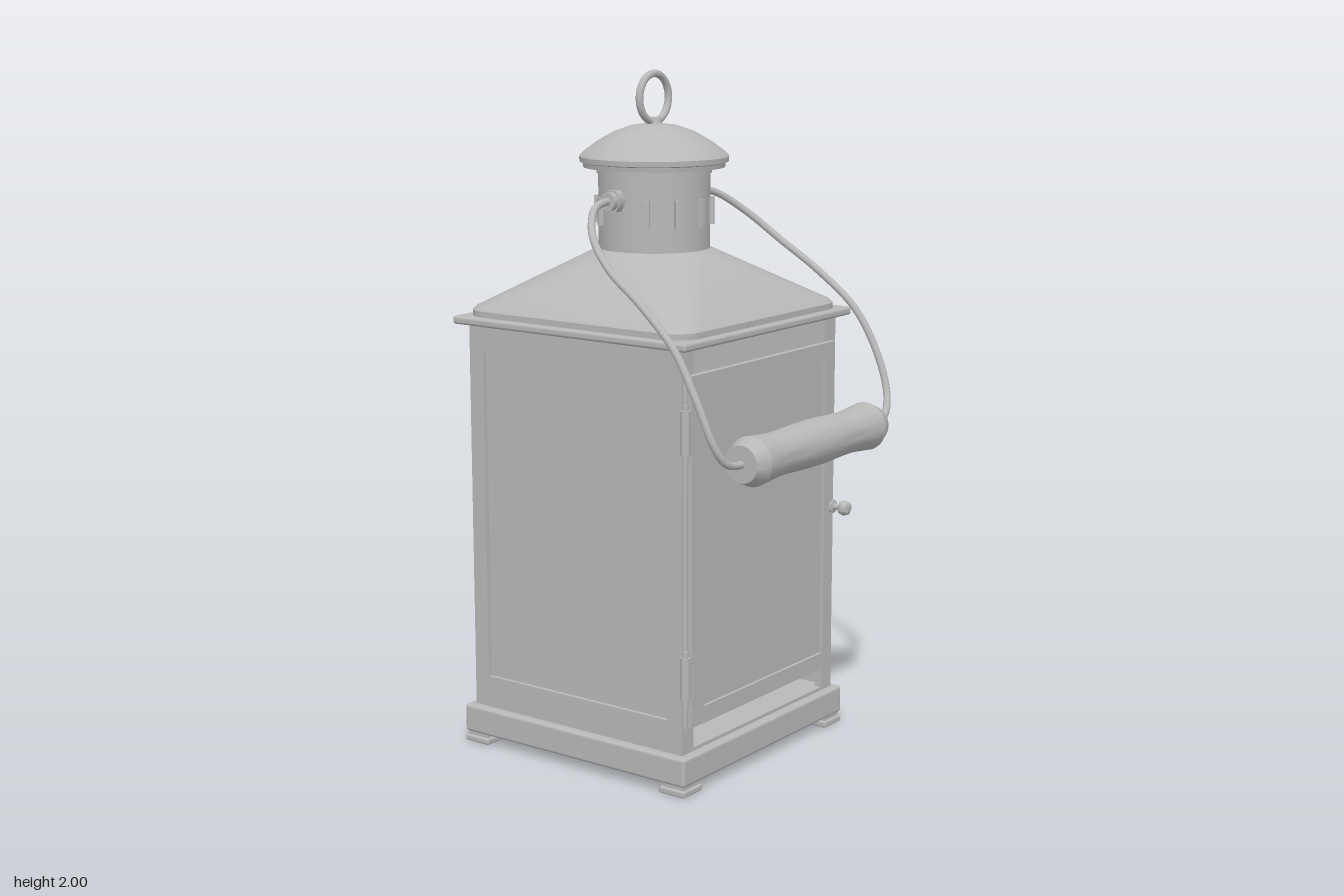
import * as THREE from 'three';
import { toCreasedNormals } from 'three/addons/utils/BufferGeometryUtils.js';
import { RoundedBoxGeometry } from 'three/addons/geometries/RoundedBoxGeometry.js';

const metal = new THREE.MeshStandardMaterial({ color: 0xb8b8b8 });
metal.name = 'grey metal';
const sheet = new THREE.MeshStandardMaterial({ color: 0xb8b8b8, side: THREE.DoubleSide });
sheet.name = 'grey sheet';

function add(parent, name, geometry, x = 0, y = 0, z = 0, material = metal) {
  const mesh = new THREE.Mesh(geometry, material);
  mesh.name = name;
  mesh.position.set(x, y, z);
  parent.add(mesh);
  return mesh;
}

const box = (w, h, d, r = 0) => r ? new RoundedBoxGeometry(w, h, d, 2, r) : new THREE.BoxGeometry(w, h, d);

function lathe(points, segments = 48, crease = 0.6) {
  const g = new THREE.LatheGeometry(points.map(([r, y]) => new THREE.Vector2(r, y)), segments);
  return toCreasedNormals(g, crease);
}

// Rectangular frame with a rectangular opening, facing +z from z = 0
function frame(x0, x1, y0, y1, hx0, hx1, hy0, hy1, depth) {
  const rect = (T, a, b, c, d) => {
    const s = new T();
    s.moveTo(a, c); s.lineTo(b, c); s.lineTo(b, d); s.lineTo(a, d); s.closePath();
    return s;
  };
  const shape = rect(THREE.Shape, x0, x1, y0, y1);
  shape.holes.push(rect(THREE.Path, hx0, hx1, hy0, hy1));
  return new THREE.ExtrudeGeometry(shape, { depth, bevelEnabled: false });
}

// Loft through rounded squares; each section is [y, half width, corner radius]
function roundedLoft(sections, steps = 14) {
  const pos = [], index = [], n = 4 * (steps + 1);
  for (const [y, half, r] of sections) {
    for (let c = 0; c < 4; c++) {
      const mid = Math.PI / 4 + c * Math.PI / 2, flat = half - r;
      for (let i = 0; i <= steps; i++) {
        const a = c * Math.PI / 2 + i / steps * Math.PI / 2;
        pos.push(Math.sign(Math.cos(mid)) * flat + r * Math.cos(a), y,
          -(Math.sign(Math.sin(mid)) * flat + r * Math.sin(a)));
      }
    }
  }
  for (let s = 0; s < sections.length - 1; s++) {
    for (let i = 0; i < n; i++) {
      const a = s * n + i, b = s * n + (i + 1) % n;
      index.push(a, b, b + n, a, b + n, a + n);
    }
  }
  const g = new THREE.BufferGeometry();
  g.setAttribute('position', new THREE.Float32BufferAttribute(pos, 3));
  g.setIndex(index);
  return toCreasedNormals(g, 0.5);
}

function buildHousing() {
  const g = new THREE.Group();
  g.name = 'housing';
  g.position.z = -0.1;

  // Base tray on four feet
  add(g, 'base', box(0.82, 0.085, 0.82, 0.01), 0, 0.0725, 0);
  for (const sx of [-1, 1]) for (const sz of [-1, 1]) {
    add(g, 'foot', box(0.09, 0.02, 0.09, 0.006), sx * 0.365, 0.01, sz * 0.365);
    add(g, 'footPad', box(0.075, 0.02, 0.075), sx * 0.365, 0.024, sz * 0.365);
  }
  add(g, 'floor', box(0.76, 0.01, 0.76), 0, 0.118, 0);

  // Left, back and right walls: frames with recessed panes
  for (const turn of [1, 2, 3]) {
    const wall = new THREE.Group();
    wall.name = 'wall';
    wall.rotation.y = turn * Math.PI / 2;
    add(wall, 'wallFrame', frame(-0.385, 0.385, 0.11, 1.28, -0.333, 0.333, 0.21, 1.19, 0.02), 0, 0, 0.365);
    add(wall, 'pane', box(0.68, 1.0, 0.006), 0, 0.7, 0.37);
    g.add(wall);
  }

  // Open front surround
  add(g, 'frontFrame', frame(-0.385, 0.385, 0.11, 1.28, -0.33, 0.33, 0.125, 1.265, 0.02), 0, 0, 0.365);

  // Candle dish
  add(g, 'candleDish', lathe([[0, 0.12], [0.06, 0.12], [0.065, 0.17], [0.1, 0.185], [0.1, 0.195], [0, 0.19]]));
  return g;
}

function buildDoor() {
  const g = new THREE.Group();
  g.name = 'door';
  add(g, 'doorFrame', frame(-0.365, 0.355, 0.195, 1.2, -0.305, 0.305, 0.245, 1.14, 0.018), 0, 0, 0.286);
  add(g, 'doorPane', box(0.63, 0.92, 0.006), 0, 0.692, 0.292);

  // Hinges and their long pin
  add(g, 'hingePin', new THREE.CylinderGeometry(0.007, 0.007, 1.0, 12), -0.385, 0.7, 0.295);
  for (const y of [0.345, 1.045]) {
    add(g, 'hingeBarrel', new THREE.CylinderGeometry(0.014, 0.014, 0.125, 16), -0.388, y, 0.298);
    add(g, 'hingeTip', new THREE.CylinderGeometry(0.009, 0.009, 0.16, 12), -0.388, y, 0.298);
    add(g, 'hingeLeaf', box(0.03, 0.12, 0.006), -0.372, y, 0.302);
  }

  // Pull knob
  const knob = add(g, 'doorKnob', lathe([[0, 0], [0.02, 0], [0.02, 0.006], [0.01, 0.01], [0.01, 0.026],
    [0.019, 0.031], [0.023, 0.043], [0.019, 0.057], [0.011, 0.062], [0, 0.062]], 20), 0.352, 0.695, 0.303);
  knob.rotation.x = Math.PI / 2;
  return g;
}

function buildRoof() {
  const g = new THREE.Group();
  g.name = 'roof';
  g.position.z = -0.1;
  add(g, 'eave', box(0.84, 0.025, 0.84, 0.009), 0, 1.285, 0);
  add(g, 'hood', roundedLoft([[1.295, 0.4, 0.08], [1.315, 0.4, 0.08], [1.325, 0.392, 0.08],
    [1.48, 0.178, 0.178], [1.487, 0.163, 0.163]]), 0, 0, 0, sheet);

  // Chimney with vent fins
  add(g, 'chimney', new THREE.CylinderGeometry(0.163, 0.163, 0.27, 48), 0, 1.61, 0);
  add(g, 'chimneyCollar', new THREE.CylinderGeometry(0.168, 0.168, 0.02, 48), 0, 1.715, 0);
  for (let i = 0; i < 12; i++) {
    if (i % 6 === 3) continue;
    const a = i * Math.PI / 6;
    const fin = add(g, 'ventFin', box(0.014, 0.08, 0.022), Math.sin(a) * 0.165, 1.597, Math.cos(a) * 0.165);
    fin.rotation.y = a;
  }

  // Domed cap with a rolled rim
  add(g, 'cap', lathe([[0, 1.745], [0.19, 1.745], [0.196, 1.724], [0.206, 1.722], [0.208, 1.735], [0.217, 1.738],
    [0.218, 1.753], [0.208, 1.764], [0.17, 1.793], [0.12, 1.822], [0.07, 1.84], [0, 1.85]], 64), 0, 0, 0);
  add(g, 'ringSeat', new THREE.CylinderGeometry(0.018, 0.024, 0.022, 24), 0, 1.853, 0);
  add(g, 'hangingRing', new THREE.TorusGeometry(0.069, 0.011, 14, 48), 0, 1.92, 0);
  return g;
}

function buildHandle() {
  const g = new THREE.Group();
  g.name = 'handle';
  const path = [[0.2, 1.637, -0.1], [0.24, 1.636, -0.1], [0.3, 1.62, -0.085], [0.375, 1.56, -0.03],
    [0.42, 1.48, 0.06], [0.44, 1.39, 0.19], [0.455, 1.285, 0.31], [0.459, 1.15, 0.39],
    [0.445, 1.04, 0.432], [0.41, 0.985, 0.447], [0.36, 0.97, 0.45], [0.32, 0.97, 0.45]];
  for (const s of [-1, 1]) {
    const curve = new THREE.CatmullRomCurve3(path.map(([x, y, z]) => new THREE.Vector3(s * x, y, z)));
    add(g, 'bailWire', new THREE.TubeGeometry(curve, 72, 0.011, 12));
    // Pivot lug and nut on the chimney
    for (const [name, r, len, x, sides] of [['pivotLug', 0.02, 0.06, 0.18, 20],
      ['pivotNut', 0.034, 0.025, 0.19, 6], ['pivotCap', 0.026, 0.018, 0.211, 20]]) {
      add(g, name, new THREE.CylinderGeometry(r, r, len, sides), s * x, 1.637, -0.1).rotation.z = Math.PI / 2;
    }
  }

  // Turned grip
  const half = [[0.34, 0], [0.34, 0.053], [0.295, 0.071], [0.25, 0.067], [0.19, 0.062], [0.13, 0.063], [0.06, 0.066]];
  const profile = [...half.map(([x, r]) => [r, -x]), [0.067, 0], ...half.slice().reverse().map(([x, r]) => [r, x])];
  add(g, 'grip', lathe(profile, 40, 0.35), 0, 0.97, 0.45).rotation.z = Math.PI / 2;
  return g;
}

export function createModel() {
  const model = new THREE.Group();
  model.name = 'lantern';
  model.add(buildHousing(), buildDoor(), buildRoof(), buildHandle());
  return model;
}
